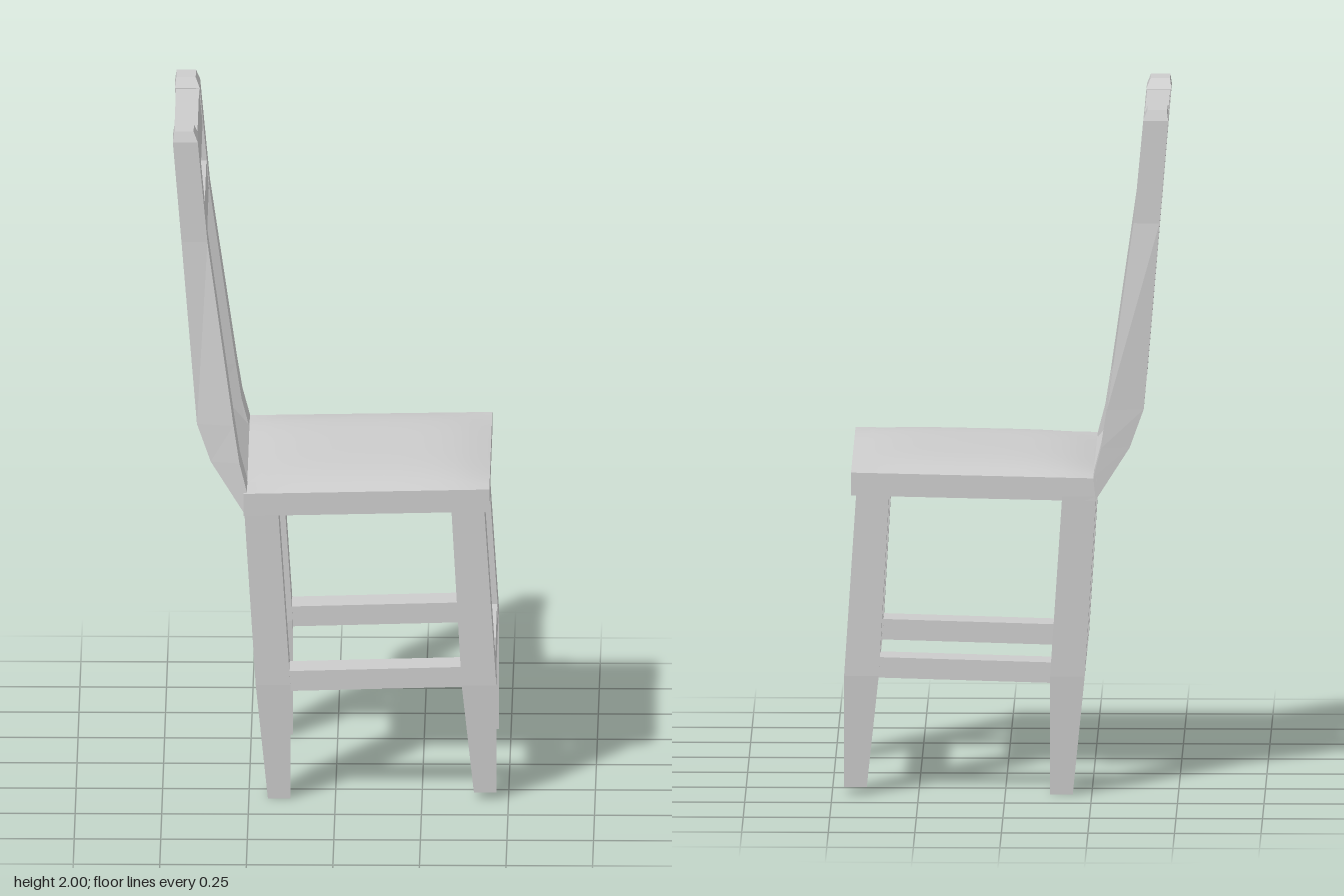
import * as THREE from 'three';

const material = new THREE.MeshStandardMaterial({ color: 0xcccccc, flatShading: true });
const smooth = new THREE.MeshStandardMaterial({ color: 0xcccccc });
const Z_SHIFT = -0.005;

// Four-sided beam lofted upward through sections:
// [xBack, yBack, zInBack, zOutBack, xFront, yFront, zInFront, zOutFront]
function beam(name, sections, side = 1) {
  const pos = [], idx = [];
  for (const [xb, yb, ib, ob, xf, yf, fi, fo] of sections) {
    const [b0, b1] = [side * ib, side * ob].sort((p, q) => p - q);
    const [f0, f1] = [side * fi, side * fo].sort((p, q) => p - q);
    pos.push(xb, yb, b0 + Z_SHIFT, xb, yb, b1 + Z_SHIFT, xf, yf, f1 + Z_SHIFT, xf, yf, f0 + Z_SHIFT);
  }
  for (let s = 0; s < sections.length - 1; s++) {
    for (let i = 0; i < 4; i++) {
      const a = s * 4 + i, b = s * 4 + (i + 1) % 4;
      idx.push(a, b, b + 4, a, b + 4, a + 4);
    }
  }
  const t = (sections.length - 1) * 4;
  idx.push(0, 2, 1, 0, 3, 2, t, t + 1, t + 2, t, t + 2, t + 3);
  let geo = new THREE.BufferGeometry();
  geo.setAttribute('position', new THREE.Float32BufferAttribute(pos, 3));
  geo.setIndex(idx);
  geo = geo.toNonIndexed();
  geo.computeVertexNormals();
  const mesh = new THREE.Mesh(geo, material);
  mesh.name = name;
  return mesh;
}

// Section with level ends and the same width front and back
const level = (y, xb, xf, zi, zo) => [xb, y, zi, zo, xf, y, zi, zo];

// Slab with a softly crowned top, tilted up slightly to the front
function seat() {
  const geo = new THREE.BoxGeometry(2, 2, 2, 14, 1, 14);
  const p = geo.attributes.position;
  for (let i = 0; i < p.count; i++) {
    const u = p.getX(i), v = p.getZ(i), top = p.getY(i) > 0;
    const x = 0.09 + 0.355 * u;
    const crown = 0.03 * (1 - u ** 4) * (1 - v ** 4);
    const y = top ? 0.94 + 0.007 * u + crown : 0.873 + 0.007 * u;
    p.setXYZ(i, x, y, v * (0.386 - 0.003 * u));
  }
  geo.computeVertexNormals();
  const mesh = new THREE.Mesh(geo, smooth);
  mesh.name = 'seat';
  return mesh;
}

export function createModel() {
  const chair = new THREE.Group();
  chair.name = 'chair';
  chair.add(seat());

  for (const side of [1, -1]) {
    const label = side > 0 ? 'PlusZ' : 'MinusZ';
    // Tapered legs
    chair.add(beam('frontLeg' + label, [
      level(0.02, 0.4, 0.465, 0.28, 0.35),
      level(0.35, 0.365, 0.465, 0.26, 0.372),
      level(0.885, 0.335, 0.43, 0.26, 0.374),
    ], side));
    chair.add(beam('backLeg' + label, [
      level(0, -0.195, -0.13, 0.28, 0.35),
      level(0.35, -0.23, -0.13, 0.26, 0.372),
      level(0.88, -0.263, -0.165, 0.26, 0.384),
    ], side));
    // Side stretcher between the legs
    chair.add(beam('sideStretcher' + label, [
      [-0.15, 0.33, 0.27, 0.368, 0.38, 0.345, 0.27, 0.368],
      [-0.15, 0.39, 0.27, 0.368, 0.38, 0.405, 0.27, 0.368],
    ], side));
    // Leaning back post with a chamfered tip
    chair.add(beam('backPost' + label, [
      [-0.262, 0.87, 0.26, 0.386, -0.255, 0.935, 0.26, 0.386],
      [-0.36, 1.02, 0.235, 0.36, -0.277, 1.02, 0.255, 0.378],
      [-0.4, 1.13, 0.22, 0.348, -0.294, 1.13, 0.248, 0.367],
      [-0.445, 1.67, 0.22, 0.317, -0.37, 1.67, 0.22, 0.317],
      level(1.97, -0.47, -0.398, 0.22, 0.315),
      level(2, -0.466, -0.41, 0.232, 0.307),
    ], side));
  }

  // Front stretcher
  chair.add(beam('frontStretcher', [
    level(0.345, 0.375, 0.463, -0.27, 0.27),
    level(0.403, 0.372, 0.46, -0.27, 0.27),
  ]));
  // Sloping panel joining the posts to the seat
  chair.add(beam('lowerBackPanel', [
    [-0.262, 0.87, -0.28, 0.28, -0.255, 0.94, -0.28, 0.28],
    [-0.36, 1.02, -0.25, 0.25, -0.32, 1.02, -0.26, 0.26],
    [-0.4, 1.13, -0.235, 0.235, -0.392, 1.13, -0.235, 0.235],
  ]));
  // Back rails
  chair.add(beam('middleRail', [
    level(1.67, -0.443, -0.372, -0.23, 0.23),
    level(1.752, -0.45, -0.379, -0.23, 0.23),
  ]));
  chair.add(beam('topRail', [
    level(1.867, -0.459, -0.39, -0.23, 0.23),
    level(1.968, -0.467, -0.4, -0.23, 0.23),
  ]));
  return chair;
}
